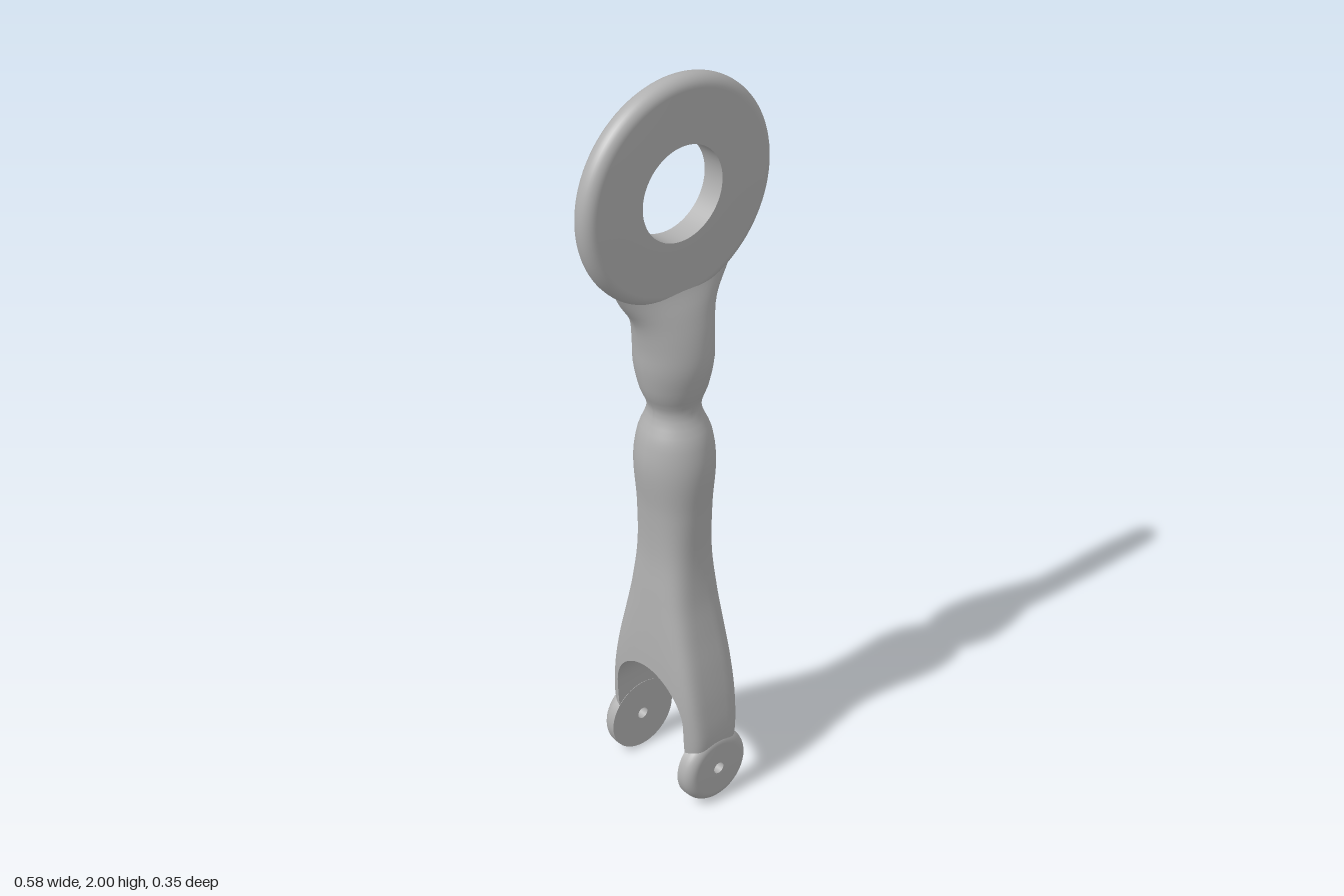
import * as THREE from 'three';
import { toCreasedNormals } from 'three/addons/utils/BufferGeometryUtils.js';

// Sections of the handle: y, half width, front depth, back depth, squareness
const SECTIONS = [
  [0.13, 0.080, 0.166, 0.166, 5],
  [0.20, 0.086, 0.173, 0.173, 5],
  [0.30, 0.092, 0.163, 0.163, 5],
  [0.40, 0.093, 0.145, 0.145, 4.6],
  [0.50, 0.090, 0.122, 0.122, 4],
  [0.60, 0.085, 0.102, 0.102, 3.4],
  [0.72, 0.079, 0.091, 0.091, 2.8],
  [0.85, 0.085, 0.096, 0.096, 2.3],
  [0.98, 0.099, 0.106, 0.106, 2],
  [1.06, 0.090, 0.094, 0.094, 2],
  [1.13, 0.066, 0.064, 0.070, 2],
  [1.19, 0.088, 0.078, 0.086, 2],
  [1.26, 0.103, 0.088, 0.098, 2],
  [1.33, 0.109, 0.078, 0.094, 2],
  [1.40, 0.125, 0.055, 0.080, 2],
  [1.46, 0.165, 0.028, 0.058, 2],
  [1.53, 0.200, 0.008, 0.030, 2],
];
const ARCH_Y = 0.245, ARCH_R = 0.13;

// Crease at a larger scale so that close vertices stay distinct
function crease(geometry) {
  geometry.scale(100, 100, 100);
  return toCreasedNormals(geometry, 0.7).scale(0.01, 0.01, 0.01);
}

// Smooth interpolation through the sections
function sectionAt(y) {
  let i = 0;
  while (i < SECTIONS.length - 2 && y > SECTIONS[i + 1][0]) i++;
  const at = k => SECTIONS[Math.min(Math.max(k, 0), SECTIONS.length - 1)];
  const p = at(i - 1), a = at(i), b = at(i + 1), q = at(i + 2);
  const h = b[0] - a[0], t = (y - a[0]) / h;
  return a.map((v, k) => {
    const m0 = (b[k] - p[k]) / (b[0] - p[0]) * h;
    const m1 = (q[k] - v) / (q[0] - a[0]) * h;
    return v * (2 * t ** 3 - 3 * t * t + 1) + m0 * (t ** 3 - 2 * t * t + t)
      + b[k] * (3 * t * t - 2 * t ** 3) + m1 * (t ** 3 - t * t);
  });
}

// Front and back halves of the handle, split by the fork arch at the bottom
function handleGeometry() {
  const rows = [];
  for (let i = 0; i < 5; i++) rows.push([0.13 + (ARCH_Y - 0.13) * i / 5, ARCH_R]);
  for (let i = 0; i <= 16; i++) {
    const t = i / 16 * Math.PI / 2;
    rows.push([ARCH_Y + ARCH_R * Math.sin(t), i === 16 ? 0 : ARCH_R * Math.cos(t)]);
  }
  const top = ARCH_Y + ARCH_R;
  for (let i = 1; i <= 64; i++) rows.push([top + (1.53 - top) * i / 64, 0]);

  const N = 32, positions = [], indices = [];
  for (const side of [1, -1]) {
    const base = positions.length / 3;
    const tri = (a, b, c) => side > 0 ? indices.push(a, b, c) : indices.push(a, c, b);
    rows.forEach(([y, inner], r) => {
      const [, width, front, back, n] = sectionAt(y);
      const depth = side > 0 ? front : back;
      const start = Math.asin(Math.min(1, (inner / depth) ** (n / 2)));
      for (let j = 0; j <= N; j++) {
        const angle = start + (Math.PI - 2 * start) * j / N;
        const c = Math.cos(angle), s = j === 0 || j === N ? Math.sin(start) : Math.sin(angle);
        positions.push(width * Math.sign(c) * Math.abs(c) ** (2 / n), y, side * depth * s ** (2 / n));
      }
      if (r === 0) return;
      const lo = base + (r - 1) * (N + 1), hi = lo + N + 1;
      for (let j = 0; j < N; j++) {
        tri(lo + j, hi + j, lo + j + 1);
        tri(hi + j, hi + j + 1, lo + j + 1);
      }
      // Inner wall of the fork
      if (rows[r - 1][1] > 0) {
        tri(lo, lo + N, hi);
        tri(lo + N, hi + N, hi);
      }
    });
  }
  const geometry = new THREE.BufferGeometry();
  geometry.setAttribute('position', new THREE.Float32BufferAttribute(positions, 3));
  geometry.setIndex(indices);
  return crease(geometry);
}

// Disc with a hole, lying from z0 to z1, with rounded outer edges
function discGeometry(hole, radius, z0, z1, round0, round1, segments) {
  const points = [new THREE.Vector2(hole, z0)];
  const corner = (z, round, from) => {
    for (let i = 0; i <= 8; i++) {
      const a = from + Math.PI / 2 * i / 8;
      points.push(new THREE.Vector2(radius - round + round * Math.cos(a), z + round * Math.sin(a)));
    }
  };
  if (round0 > 0) corner(z0 + round0, round0, -Math.PI / 2);
  else points.push(new THREE.Vector2(radius, z0));
  corner(z1 - round1, round1, 0);
  points.push(new THREE.Vector2(hole, z1), new THREE.Vector2(hole, z0));
  return crease(new THREE.LatheGeometry(points, segments).rotateX(Math.PI / 2));
}

export function createModel() {
  const model = new THREE.Group();
  model.name = 'forkedRingHandle';
  const grey = new THREE.MeshStandardMaterial({ color: 0xb0b0b0 });
  grey.name = 'grey';
  const add = (name, geometry) => {
    const mesh = new THREE.Mesh(geometry, grey);
    mesh.name = name;
    model.add(mesh);
    return mesh;
  };

  add('handle', handleGeometry());

  // Eye ring at the top
  add('ring', discGeometry(0.122, 0.288, -0.033, 0.03, 0.03, 0.03, 96)).position.y = 1.712;

  // Drilled round feet at the fork ends
  for (const [name, turn] of [['frontFoot', 0], ['backFoot', Math.PI]]) {
    const foot = add(name, discGeometry(0.016, 0.102, 0.129, 0.175, 0, 0.028, 48));
    foot.position.y = 0.102;
    foot.rotation.y = turn;
  }
  return model;
}
